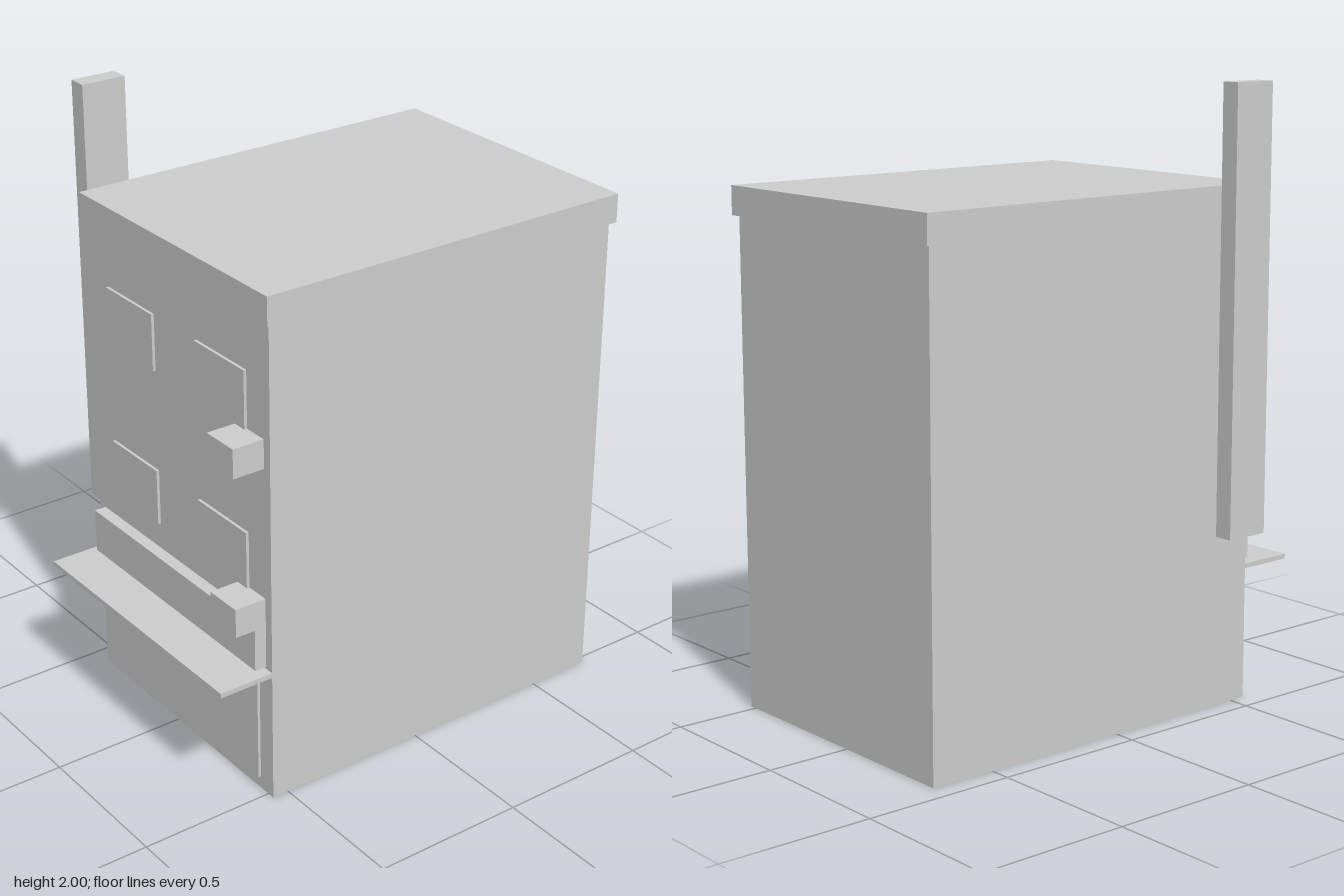
import * as THREE from 'three';

const grey = new THREE.MeshStandardMaterial({ color: 0xcccccc });
grey.name = 'plain grey';

// Box given by its lower and upper limits on each axis
function block(name, [x0, x1], [y0, y1], [z0, z1]) {
  const mesh = new THREE.Mesh(new THREE.BoxGeometry(x1 - x0, y1 - y0, z1 - z0), grey);
  mesh.position.set((x0 + x1) / 2, (y0 + y1) / 2, (z0 + z1) / 2);
  mesh.name = name;
  return mesh;
}

export function createModel() {
  const group = new THREE.Group();
  group.name = 'shopBuilding';
  const front = 0.555;

  // Main volume and overhanging roof slab
  group.add(block('building', [-0.43, 0.525], [0, 1.59], [-0.72, front]));
  group.add(block('roof', [-0.445, 0.54], [1.587, 1.68], [-0.737, 0.57]));

  // Two floors of windows, each with a cooling unit at the right-hand corner
  for (const [i, y] of [0.693, 1.22].entries()) {
    const floor = new THREE.Group();
    floor.name = `floor${i + 1}`;
    for (const x of [-0.32, 0.16]) {
      floor.add(block('window', [x, x + 0.253], [y, y + 0.187], [front, 0.5645]));
    }
    floor.add(block('coolingUnit', [0.365, 0.495], [y - 0.095, y], [front, 0.662]));
    group.add(floor);
  }

  // Shop front: fascia board, awning ledge, shutter and its upper panel
  group.add(block('fasciaBoard', [-0.4, 0.495], [0.458, 0.604], [front, 0.595]));
  group.add(block('awning', [-0.43, 0.525], [0.434, 0.45], [front, 0.74]));
  group.add(block('shutter', [-0.367, 0.46], [0.042, 0.409], [front, 0.564]));
  group.add(block('shutterPanel', [-0.155, 0.25], [0.302, 0.409], [0.564, 0.574]));

  // Tall hanging sign beside the building
  group.add(block('hangingSign', [-0.543, -0.481], [0.58, 2], [0.37, 0.52]));

  return group;
}
